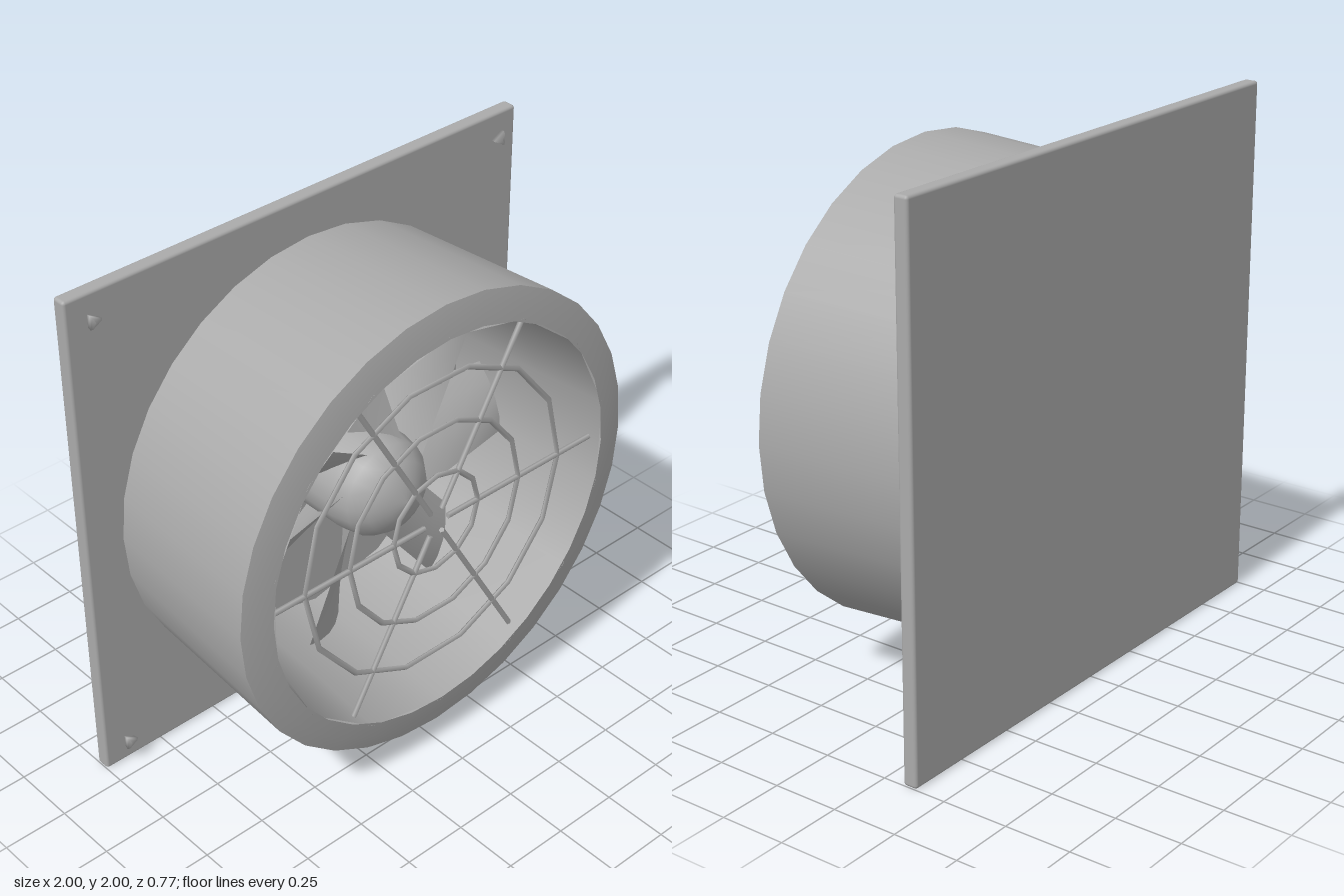
import * as THREE from 'three';
import { RoundedBoxGeometry } from 'three/addons/geometries/RoundedBoxGeometry.js';

export function createModel() {
  const model = new THREE.Group();
  model.name = 'wallFan';
  const metal = new THREE.MeshStandardMaterial({ color: 0xaaaaaa, side: THREE.DoubleSide });
  metal.name = 'grey metal';

  const fan = new THREE.Group();
  fan.name = 'fanUnit';
  fan.position.y = 1;
  model.add(fan);

  const add = (geometry, name, parent = fan) => {
    const mesh = new THREE.Mesh(geometry, metal);
    mesh.name = name;
    parent.add(mesh);
    return mesh;
  };
  // Profile of [radius, z] pairs turned about the z axis
  const turned = (profile, sides) =>
    new THREE.LatheGeometry(profile.map(([r, z]) => new THREE.Vector2(r, z)), sides).rotateX(Math.PI / 2);

  // Square mounting plate
  add(new RoundedBoxGeometry(2, 2, 0.056, 2, 0.012), 'mountingPlate').position.z = -0.357;

  // Flared housing, its front lip and inner wall
  add(turned([[0.855, -0.315], [0.895, 0.36]], 32), 'housingWall');
  add(turned([[0.895, 0.36], [0.84, 0.375], [0.775, 0.385]], 32), 'housingLip');
  add(turned([[0.785, 0.384], [0.76, 0.1], [0.74, -0.315]], 14), 'innerWall');

  // Hub with a domed nose
  add(turned([[0.2, -0.32], [0.2, 0], [0.185, 0.08], [0.14, 0.14], [0.075, 0.18], [0, 0.195]], 20), 'hub');

  // Seven twisted blades: pitch depth shrinks from root to tip
  for (let i = 0; i < 7; i++) {
    const blade = new THREE.PlaneGeometry(0.54, 0.25, 6, 4);
    const p = blade.attributes.position;
    for (let k = 0; k < p.count; k++) {
      const t = p.getX(k) / 0.54 + 0.5;
      const s = p.getY(k) / 0.125;
      const depth = 0.15 - 0.09 * t;
      p.setXYZ(k, 0.14 + 0.54 * t, p.getY(k), -0.06 - s * depth - 0.03 * s * s);
    }
    blade.computeVertexNormals();
    add(blade, 'blade').rotation.z = (i * Math.PI * 2) / 7;
  }

  // Wire guard: three rings and six spokes
  const guard = new THREE.Group();
  guard.name = 'guard';
  guard.position.z = 0.335;
  fan.add(guard);
  for (const r of [0.2, 0.4, 0.6]) {
    add(new THREE.TorusGeometry(r, 0.011, 4, r < 0.3 ? 12 : 14), 'guardRing', guard);
  }
  for (let i = 0; i < 6; i++) {
    const spoke = new THREE.CylinderGeometry(0.011, 0.011, 0.72, 5).rotateZ(Math.PI / 2).translate(0.415, 0, 0);
    add(spoke, 'guardSpoke', guard).rotation.z = (i * Math.PI) / 3;
  }

  // Corner screws, three-sided and pointing inwards
  for (const sx of [-1, 1]) {
    for (const sy of [-1, 1]) {
      const screw = add(turned([[0, -0.012], [0.028, -0.012], [0.032, 0.004], [0.024, 0.014], [0, 0.016]], 3), 'screw');
      screw.position.set(sx * 0.905, sy * 0.905, -0.308);
      screw.rotation.z = sx < 0 ? Math.PI / 2 : -Math.PI / 2;
    }
  }
  return model;
}
